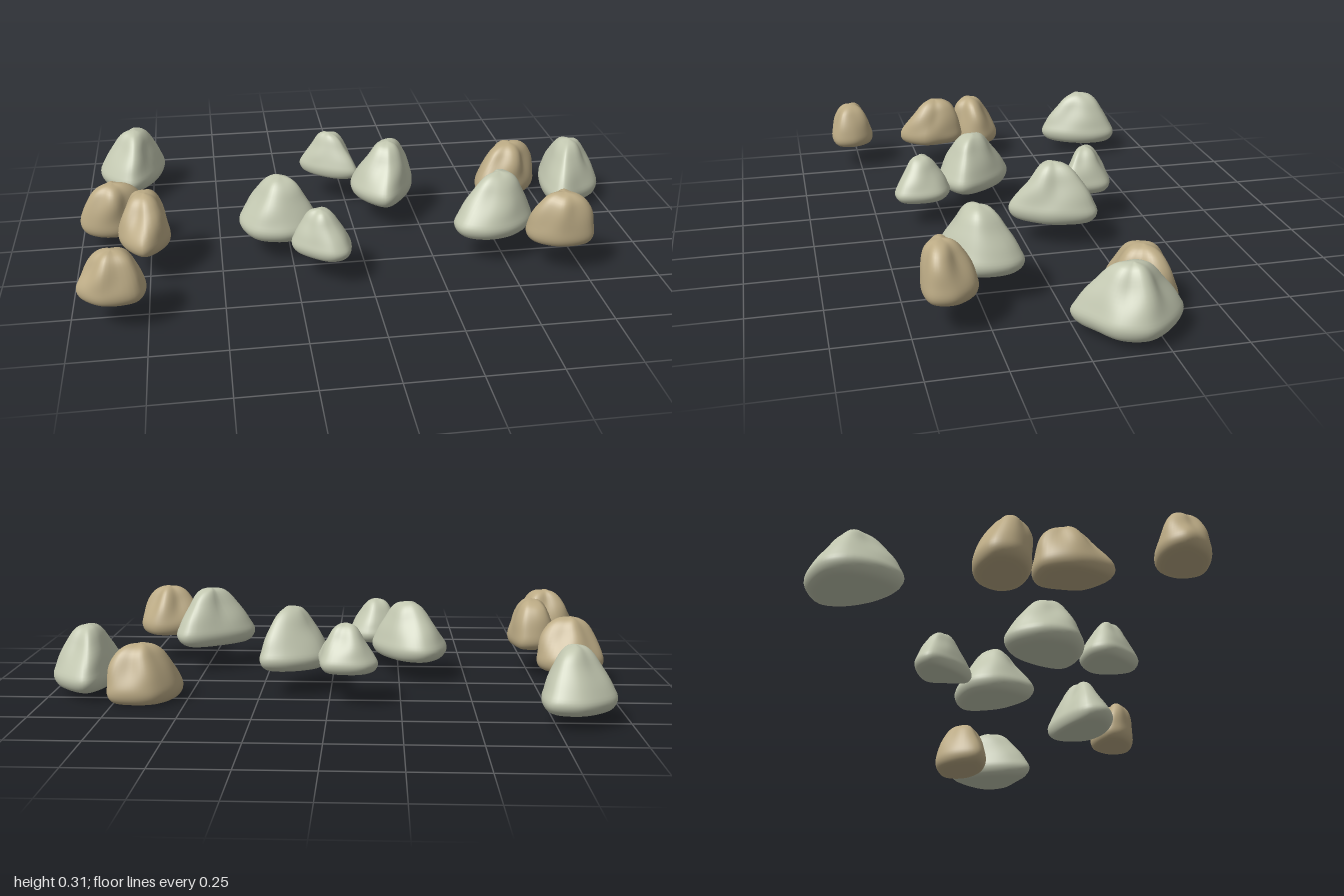
import * as THREE from 'three';
import { mergeVertices } from 'three/addons/utils/BufferGeometryUtils.js';

const GREY = new THREE.MeshStandardMaterial({ color: 0xc2c7b0, roughness: 0.9 });
const TAN = new THREE.MeshStandardMaterial({ color: 0xbcab85, roughness: 0.9 });

// Width (x) against height (y): flat underside, low belly, blunt peak
const profile = (pts) => new THREE.SplineCurve(pts.map(([w, h]) => new THREE.Vector2(w, h))).getPoints(30);
const GREY_PROFILE = profile([[0, 0.02], [0.5, 0.005], [0.8, 0.02], [0.95, 0.1], [1, 0.22], [0.91, 0.36],
  [0.78, 0.52], [0.6, 0.7], [0.44, 0.86], [0.26, 0.96], [0, 1]]);
const TAN_PROFILE = profile([[0, 0.02], [0.5, 0.005], [0.82, 0.02], [0.96, 0.1], [1, 0.22], [0.94, 0.38],
  [0.83, 0.56], [0.68, 0.74], [0.52, 0.88], [0.3, 0.97], [0, 1]]);

// Stone: plan outline [x, z] (clockwise from above) lofted from y0 to a peak at [x, z], y1
function stone(outline, peak, y0, y1, tan, seed) {
  const SEG = 48;
  const rows = tan ? TAN_PROFILE : GREY_PROFILE;
  const plan = new THREE.CatmullRomCurve3(outline.map(([x, z]) => new THREE.Vector3(x, 0, z)), true)
    .getPoints(SEG).slice(0, SEG);
  const box = new THREE.Box3().setFromPoints(plan);
  const mid = box.getCenter(new THREE.Vector3());
  const tip = new THREE.Vector3(peak[0], 0, peak[1]);
  const pos = [], index = [];

  rows.forEach(({ x: w, y: h }, r) => {
    const shift = THREE.MathUtils.smoothstep(h, 0.2, 0.9);
    const cx = THREE.MathUtils.lerp(mid.x, tip.x, shift);
    const cz = THREE.MathUtils.lerp(mid.z, tip.z, shift);
    const ridge = THREE.MathUtils.smoothstep(h, 0.25, 0.75);
    plan.forEach((p, s) => {
      const a = Math.atan2(p.z - mid.z, p.x - mid.x);
      // Soft ridges and hollows towards the top
      const k = w * (1 + ridge * ((tan ? 0.1 : 0.05) * Math.cos(4 * a + seed)
        + 0.06 * Math.cos(3 * a - 1.7 * seed + 3 * h)));
      const dip = 0.035 * ridge * w * Math.sin(3 * a + 2 * seed);
      pos.push(cx + (p.x - mid.x) * k, y0 + (y1 - y0) * (h + dip), cz + (p.z - mid.z) * k);
      if (r < rows.length - 1) {
        const i = r * SEG + s, n = r * SEG + (s + 1) % SEG;
        index.push(i, i + SEG, n, n, i + SEG, n + SEG);
      }
    });
  });

  let geo = new THREE.BufferGeometry();
  geo.setAttribute('position', new THREE.Float32BufferAttribute(pos, 3));
  geo.setIndex(index);
  geo = mergeVertices(geo, 1e-5);
  geo.computeVertexNormals();
  const mesh = new THREE.Mesh(geo, tan ? TAN : GREY);
  mesh.name = tan ? 'tanStone' : 'greyStone';
  return mesh;
}

export function createModel() {
  const group = new THREE.Group();
  group.name = 'scatteredStones';

  // outline, peak, bottom, top
  const grey = [
    [[[-0.8, -0.62], [-0.72, -0.6], [-0.7, -0.52], [-0.74, -0.39], [-0.82, -0.31], [-0.9, -0.36],
      [-0.95, -0.46], [-0.94, -0.53], [-0.87, -0.595]], [-0.81, -0.47], 0.05, 0.265],
    [[[-0.075, -0.375], [0.015, -0.35], [0.035, -0.26], [0.035, -0.18], [-0.02, -0.18], [-0.12, -0.24],
      [-0.17, -0.31], [-0.135, -0.36]], [-0.06, -0.275], 0.12, 0.29],
    [[[0.155, -0.25], [0.24, -0.235], [0.24, -0.11], [0.205, -0.03], [0.12, 0.055], [0.06, 0.015],
      [0.005, -0.09], [0.03, -0.185]], [0.14, -0.1], 0.095, 0.315],
    [[[-0.34, -0.035], [-0.26, -0.01], [-0.17, 0.1], [-0.15, 0.175], [-0.21, 0.225], [-0.29, 0.24],
      [-0.385, 0.205], [-0.43, 0.1], [-0.395, 0]], [-0.28, 0.11], 0.08, 0.295],
    [[[-0.14, 0.225], [-0.075, 0.265], [-0.06, 0.35], [-0.08, 0.42], [-0.13, 0.435], [-0.2, 0.395],
      [-0.26, 0.325], [-0.245, 0.265]], [-0.165, 0.33], 0.1, 0.265],
    [[[0.56, 0.1], [0.605, 0.15], [0.6, 0.265], [0.525, 0.34], [0.42, 0.365], [0.335, 0.33],
      [0.32, 0.26], [0.43, 0.155]], [0.48, 0.235], 0.1, 0.32],
    [[[0.84, -0.335], [0.93, -0.285], [0.995, -0.185], [0.97, -0.09], [0.89, -0.03], [0.8, 0.015],
      [0.765, -0.07], [0.785, -0.24]], [0.87, -0.16], 0.03, 0.255],
  ];
  const tan = [
    [[[-0.89, -0.1], [-0.81, -0.095], [-0.755, -0.03], [-0.77, 0.03], [-0.85, 0.075], [-0.93, 0.07],
      [-0.985, 0.03], [-0.995, -0.03], [-0.95, -0.075]], [-0.87, 0.01], 0.065, 0.26],
    [[[-0.71, 0.08], [-0.68, 0.16], [-0.675, 0.24], [-0.755, 0.33], [-0.815, 0.28], [-0.85, 0.2],
      [-0.835, 0.11], [-0.77, 0.075]], [-0.755, 0.18], 0.11, 0.295],
    [[[-0.9, 0.45], [-0.8, 0.45], [-0.75, 0.52], [-0.77, 0.595], [-0.88, 0.61], [-0.945, 0.57],
      [-0.97, 0.53], [-0.95, 0.48]], [-0.85, 0.53], 0.1, 0.27],
    [[[0.64, 0.29], [0.72, 0.285], [0.785, 0.365], [0.765, 0.44], [0.65, 0.455], [0.565, 0.405],
      [0.555, 0.35]], [0.67, 0.39], 0.11, 0.3],
    [[[0.68, -0.375], [0.76, -0.35], [0.77, -0.265], [0.7, -0.185], [0.605, -0.16], [0.53, -0.185],
      [0.535, -0.28], [0.595, -0.36]], [0.66, -0.265], 0.005, 0.21],
  ];

  grey.forEach((d, i) => group.add(stone(...d, false, i * 1.3)));
  tan.forEach((d, i) => group.add(stone(...d, true, i * 1.7 + 0.6)));
  return group;
}
